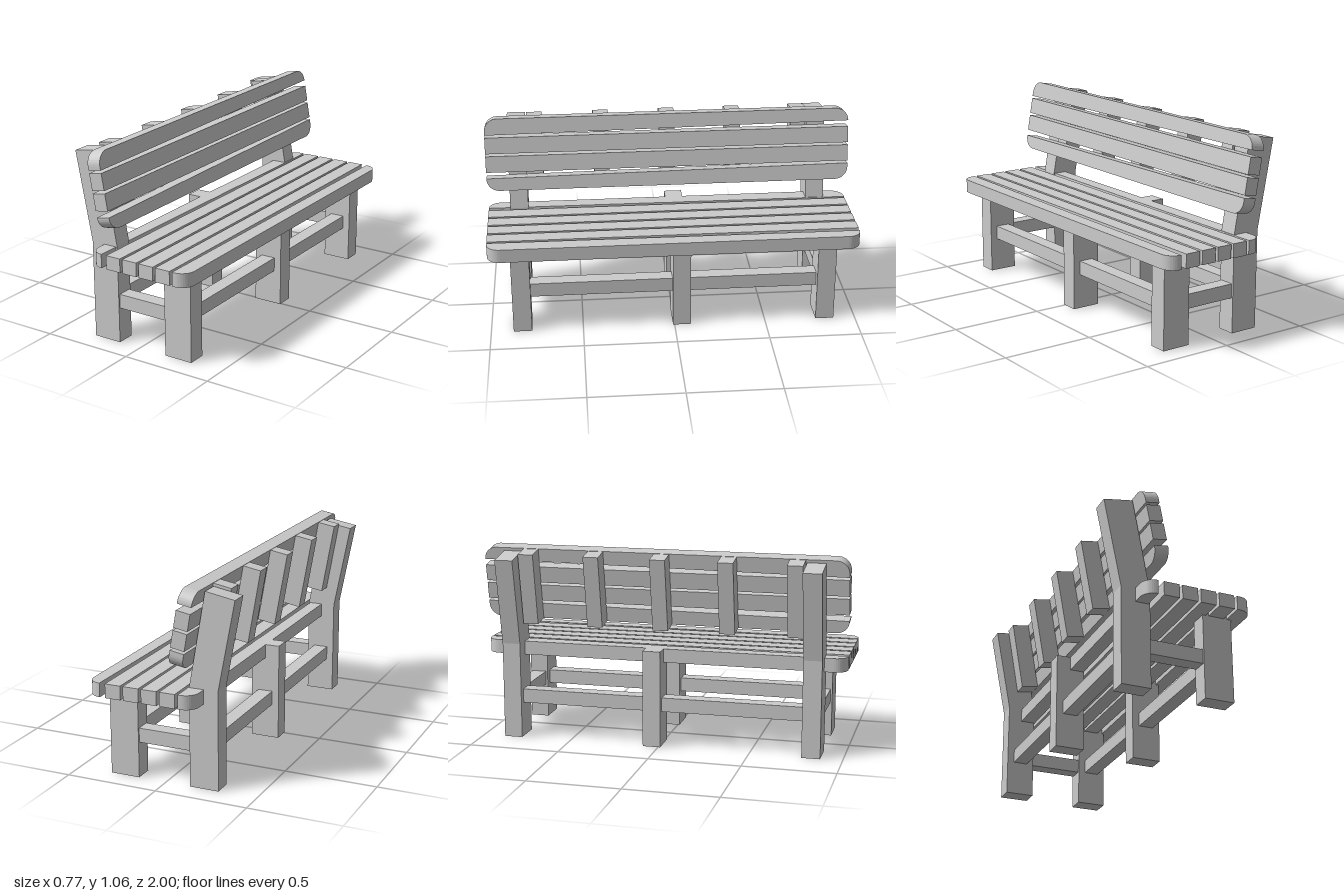
import * as THREE from 'three';

const wood = new THREE.MeshStandardMaterial({ color: 0xcccccc, flatShading: true });

function add(parent, name, geometry, x = 0, y = 0, z = 0) {
  const mesh = new THREE.Mesh(geometry, wood);
  mesh.name = name;
  mesh.position.set(x, y, z);
  parent.add(mesh);
  return mesh;
}

// Box given by its lower and upper limits on each axis
function block(parent, name, [x0, x1], [y0, y1], [z0, z1]) {
  return add(parent, name, new THREE.BoxGeometry(x1 - x0, y1 - y0, z1 - z0),
    (x0 + x1) / 2, (y0 + y1) / 2, (z0 + z1) / 2);
}

// Horizontal plank along z; side = +1 or -1 rounds both corners on that x side
function plank(width, thickness, side = 0) {
  const w = width / 2, r = 0.07, shape = new THREE.Shape();
  shape.moveTo(-w, -1);
  if (side) {
    shape.absarc(w - r, -1 + r, r, -Math.PI / 2, 0);
    shape.absarc(w - r, 1 - r, r, 0, Math.PI / 2);
  } else {
    shape.lineTo(w, -1);
    shape.lineTo(w, 1);
  }
  shape.lineTo(-w, 1);
  shape.closePath();
  const g = new THREE.ExtrudeGeometry(shape, { depth: thickness, bevelEnabled: false, curveSegments: 5 });
  g.translate(0, 0, -thickness / 2);
  if (side < 0) g.rotateZ(Math.PI);
  return g.rotateX(Math.PI / 2);
}

export function createModel() {
  const bench = new THREE.Group();
  bench.name = 'bench';
  const back = [-0.289, -0.132], front = [0.157, 0.316];
  const middle = [-0.087, 0.01], railY = [0.19, 0.267];

  // Bent rear posts carrying the backrest
  const profile = new THREE.Shape([
    [back[0], 0], [back[1], 0], [back[1], 0.53], [-0.222, 1.033], [-0.38, 1.005], [back[0], 0.53],
  ].map(([x, y]) => new THREE.Vector2(x, y)));
  for (const s of [-1, 1]) {
    const post = new THREE.ExtrudeGeometry(profile, { depth: 0.1, bevelEnabled: false });
    add(bench, 'rearPost', post, 0, 0, s * 0.83 - 0.05);
    block(bench, 'frontLeg', front, [0, 0.48], [s * 0.83 - 0.05, s * 0.83 + 0.05]);
    block(bench, 'sideStretcher', [back[1], front[0]], railY, [s * 0.83 - 0.04, s * 0.83 + 0.04]);
  }

  // Middle legs
  block(bench, 'middleRearLeg', back, [0, 0.53], middle);
  block(bench, 'middleFrontLeg', front, [0, 0.48], middle);

  // Long rails between the legs
  for (const x of [-0.211, 0.236]) {
    block(bench, 'longRail', [x - 0.04, x + 0.04], railY, [-0.78, middle[0]]);
    block(bench, 'longRail', [x - 0.04, x + 0.04], railY, [middle[1], 0.78]);
  }

  // Seat slats, outer corners rounded
  for (let i = 0; i < 6; i++) {
    const side = i === 0 ? -1 : i === 5 ? 1 : 0;
    add(bench, 'seatSlat', plank(0.085, 0.075, side), -0.169 + i * 0.1005, 0.4925, 0);
  }

  // Leaning backrest: slats in front, battens behind
  const rest = new THREE.Group();
  rest.name = 'backrest';
  rest.position.set(-0.145, 0.857, 0);
  rest.rotation.z = THREE.MathUtils.degToRad(10);
  bench.add(rest);
  for (let i = 0; i < 4; i++) {
    const side = i === 0 ? -1 : i === 3 ? 1 : 0;
    add(rest, 'backSlat', plank(0.09, 0.076, side).rotateZ(Math.PI / 2), 0, -0.156 + i * 0.104, 0);
  }
  for (let i = -2; i <= 2; i++) {
    const z = i * 0.365;
    block(rest, 'backBatten', [-0.136, -0.038], [-0.2, 0.199], [z - 0.042, z + 0.042]);
  }

  // The whole bench stands very slightly turned
  bench.rotation.y = 0.005;
  const model = new THREE.Group();
  model.name = 'parkBench';
  model.add(bench);
  return model;
}
